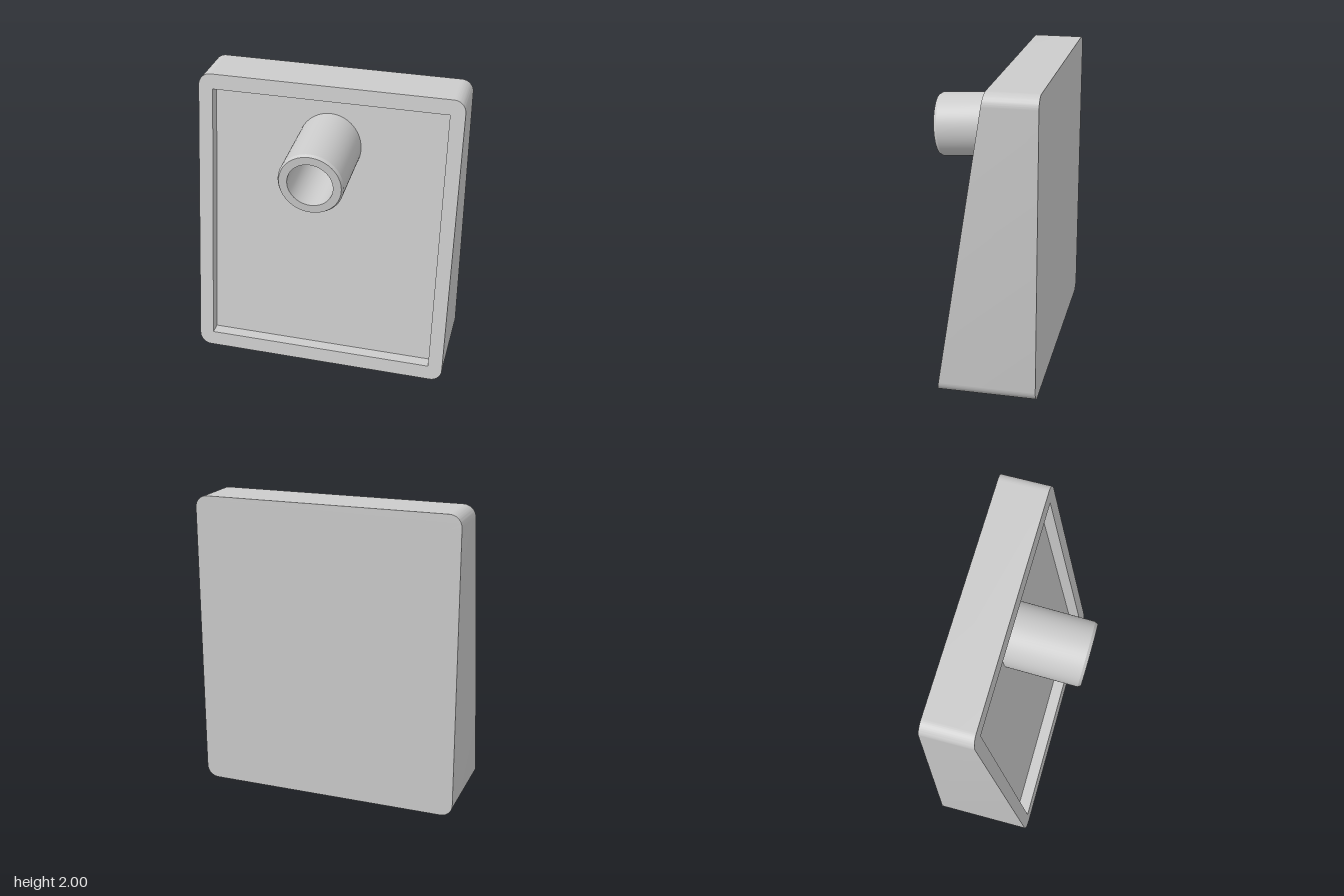
import * as THREE from 'three';
import { toCreasedNormals } from 'three/addons/utils/BufferGeometryUtils.js';

const HALF_W = 0.888, HEIGHT = 2, CORNER = 0.08, BACK_Z = -0.415;
const REC_W = 0.79, REC_Y0 = 0.1, REC_Y1 = 1.9, REC_DEPTH = 0.08;

// Sloping front plane of the wedge
const frontZ = (y) => 0.23 - 0.157 * y;

function createRectangle(Path, halfW, y0, y1, r = 0) {
  const p = new Path();
  if (!r) {
    p.moveTo(-halfW, y0).lineTo(halfW, y0).lineTo(halfW, y1).lineTo(-halfW, y1).closePath();
    return p;
  }
  p.moveTo(-halfW + r, y0).lineTo(halfW - r, y0);
  p.absarc(halfW - r, y0 + r, r, -Math.PI / 2, 0);
  p.lineTo(halfW, y1 - r).absarc(halfW - r, y1 - r, r, 0, Math.PI / 2);
  p.lineTo(-halfW + r, y1).absarc(-halfW + r, y1 - r, r, Math.PI / 2, Math.PI);
  p.lineTo(-halfW, y0 + r).absarc(-halfW + r, y0 + r, r, Math.PI, Math.PI * 1.5);
  return p;
}

// Remap each vertex depth as a function of (height, old depth)
function warpZ(geometry, rule) {
  const pos = geometry.attributes.position;
  for (let i = 0; i < pos.count; i++) pos.setZ(i, rule(pos.getY(i), pos.getZ(i)));
  return toCreasedNormals(geometry, 0.5);
}

export function createModel() {
  const group = new THREE.Group();
  const material = new THREE.MeshStandardMaterial({ color: 0xcccccc });
  const add = (name, geometry) => {
    const mesh = new THREE.Mesh(geometry, material);
    mesh.name = name;
    group.add(mesh);
    return mesh;
  };

  // Rounded wedge frame around the recess
  const frame = createRectangle(THREE.Shape, HALF_W, 0, HEIGHT, CORNER);
  frame.holes.push(createRectangle(THREE.Path, REC_W, REC_Y0, REC_Y1));
  add('wedgeFrame', warpZ(
    new THREE.ExtrudeGeometry(frame, { depth: 1, bevelEnabled: false, curveSegments: 12 }),
    (y, z) => (z < 0.5 ? BACK_Z : frontZ(y))
  ));

  // Recessed floor, opened where the tube passes through
  const floor = createRectangle(THREE.Shape, REC_W, REC_Y0, REC_Y1);
  const opening = new THREE.Path();
  opening.absarc(0, 1.57, 0.18, 0, Math.PI * 2, true);
  floor.holes.push(opening);
  add('recessFloor', warpZ(new THREE.ShapeGeometry(floor, 32), (y) => frontZ(y) - REC_DEPTH));

  // Flat back closing the frame
  const back = new THREE.PlaneGeometry(2 * REC_W, REC_Y1 - REC_Y0).rotateY(Math.PI);
  add('backPanel', back).position.set(0, (REC_Y0 + REC_Y1) / 2, BACK_Z);

  // Chamfered tube with a blind bore, tilted slightly downwards
  const profile = [[0.215, -0.6], [0.215, -0.02], [0.204, 0], [0.15, 0], [0.15, -0.75], [0, -0.75]]
    .map(([r, y]) => new THREE.Vector2(r, y));
  const tube = add('tube', toCreasedNormals(new THREE.LatheGeometry(profile, 64), 0.4));
  tube.position.set(0, 1.54, 0.404);
  tube.rotation.x = Math.PI / 2 + 0.06;

  return group;
}
